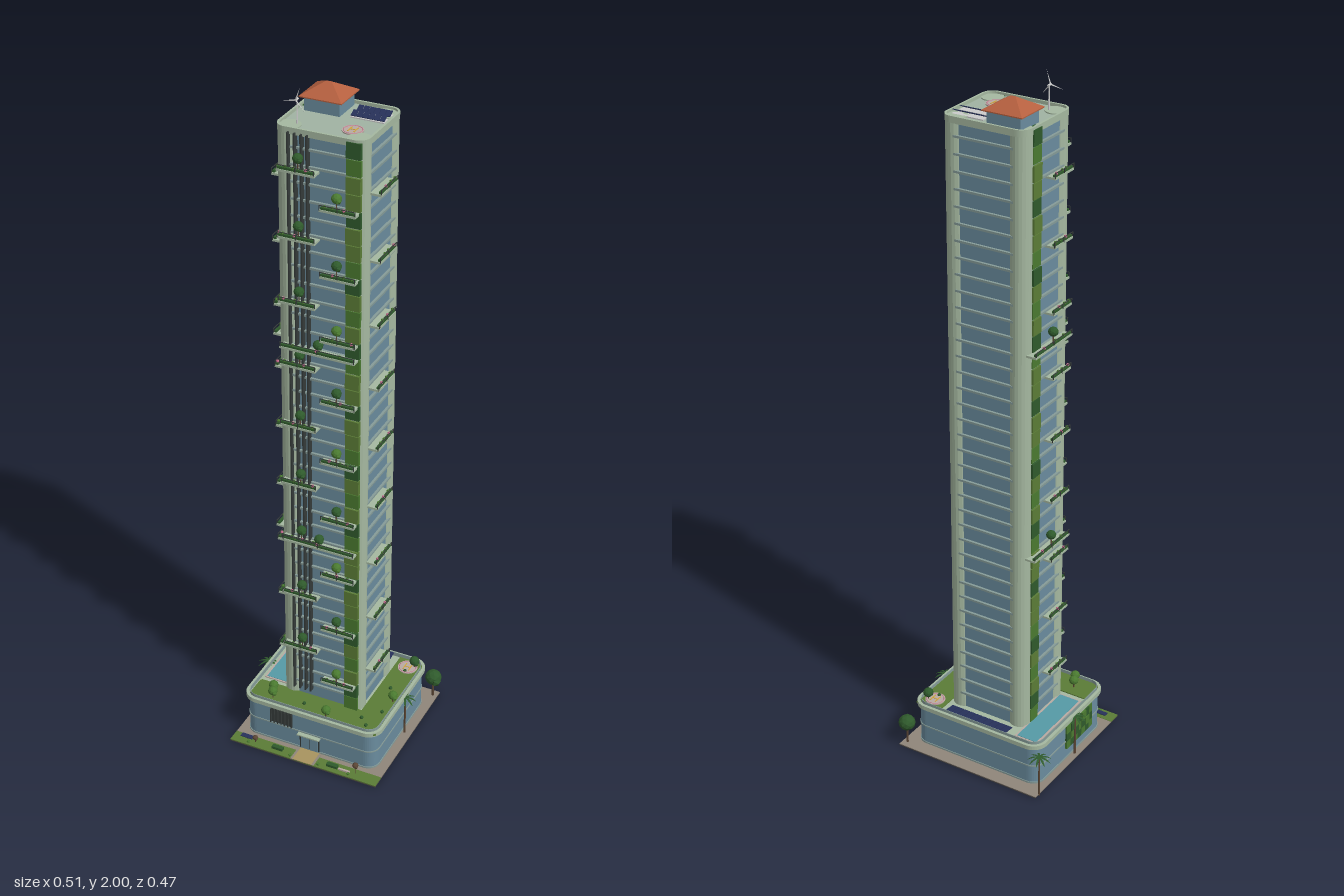
import * as THREE from 'three';
import { ConvexGeometry } from 'three/addons/geometries/ConvexGeometry.js';

const C = {
  glass: 0x6a8c9e, trim: 0xa5b8a0, ledge: 0x859b98, deck: 0xa0b3a2, grass: 0x5b7c36, leaf: 0x2f5a2c,
  leaf2: 0x4a7a30, dark: 0x353b39, solar: 0x27315a, water: 0x559aa6, paving: 0x8f857a, sand: 0xa8935f,
  roof: 0xb5603f, bark: 0x5a4534, pad: 0xb9aaa2, yellow: 0xd0a53a, pink: 0xc06a8a, base: 0x4d4945, white: 0xcccccc,
};
const mats = {};
function mat(c) {
  return mats[c] ??= new THREE.MeshStandardMaterial({ color: C[c], flatShading: true });
}
function add(parent, name, geo, c, x = 0, y = 0, z = 0) {
  const m = new THREE.Mesh(geo, mat(c));
  m.name = name;
  m.position.set(x, y, z);
  parent.add(m);
  return m;
}
// Box given by its x, y and z ranges
function box(parent, name, c, x0, x1, y0, y1, z0, z1) {
  return add(parent, name, new THREE.BoxGeometry(x1 - x0, y1 - y0, z1 - z0), c, (x0 + x1) / 2, (y0 + y1) / 2, (z0 + z1) / 2);
}
function roundRect(target, w, d, r) {
  const a = w / 2 - r, b = d / 2 - r;
  [[a, b], [-a, b], [-a, -b], [a, -b]].forEach(([x, y], i) => target.absarc(x, y, r, i * Math.PI / 2, (i + 1) * Math.PI / 2));
  target.closePath();
  return target;
}
// Rounded slab, or a ring of the given wall thickness
function slab(parent, name, c, [x, z, w, d, r], y0, y1, wall = 0) {
  const s = roundRect(new THREE.Shape(), w, d, r);
  if (wall) s.holes.push(roundRect(new THREE.Path(), w - 2 * wall, d - 2 * wall, r - wall));
  const g = new THREE.ExtrudeGeometry(s, { depth: y1 - y0, bevelEnabled: false, curveSegments: 5 }).rotateX(-Math.PI / 2);
  return add(parent, name, g, c, x, y0, z);
}
const inset = ([x, z, w, d, r], t) => [x, z, w - 2 * t, d - 2 * t, Math.max(r - t, 0.004)];

function tree(parent, x, y, z, r, h, c = 'leaf') {
  const g = new THREE.Group();
  g.name = 'tree';
  g.position.set(x, y, z);
  add(g, 'trunk', new THREE.CylinderGeometry(r * 0.1, r * 0.15, h, 5), 'bark', 0, h / 2, 0);
  const crown = add(g, 'crown', new THREE.IcosahedronGeometry(r, 1), c, 0, h, 0);
  crown.scale.y = 0.95;
  add(g, 'crownLobe', new THREE.IcosahedronGeometry(r * 0.65, 0), c, r * 0.45, h - r * 0.25, r * 0.35);
  parent.add(g);
}
function palm(parent, x, z, h) {
  const g = new THREE.Group();
  g.name = 'palm';
  g.position.set(x, 0, z);
  add(g, 'palmTrunk', new THREE.CylinderGeometry(0.002, 0.0035, h, 6), 'bark', 0, h / 2, 0);
  for (let i = 0; i < 9; i++) {
    // Frond narrows and droops towards its tip
    const f = new THREE.PlaneGeometry(0.034, 0.008, 4, 1).rotateX(-Math.PI / 2).translate(0.017, 0, 0);
    const p = f.attributes.position;
    for (let k = 0; k < p.count; k++) {
      const t = p.getX(k) / 0.034;
      p.setY(k, 0.008 * t - 0.018 * t * t);
      p.setZ(k, p.getZ(k) * (0.25 + 2.4 * t * (1 - t)) * (t > 0.95 ? 0.2 : 1));
    }
    f.computeVertexNormals();
    const m = add(g, 'frond', f, 'leaf', 0, h, 0);
    m.material = mats.frond ??= new THREE.MeshStandardMaterial({ color: C.leaf, side: THREE.DoubleSide });
    m.rotation.y = i * Math.PI * 2 / 9 + x;
  }
  parent.add(g);
}
// Balcony projecting along local +z, centred on its wall line
function balcony(parent, x, y, z, w, d, turn, seed = 0) {
  const g = new THREE.Group();
  g.name = 'balcony';
  g.position.set(x, y, z);
  g.rotation.y = turn;
  box(g, 'balconySlab', 'trim', -w / 2, w / 2, -0.003, 0.003, -0.012, d);
  box(g, 'planter', 'leaf', -w / 2 + 0.003, w / 2 - 0.003, 0.003, 0.009, d - 0.009, d - 0.002);
  box(g, 'handrail', 'dark', -w / 2, w / 2, 0.014, 0.0155, d - 0.002, d);
  for (const s of [-1, 0, 1]) box(g, 'railPost', 'dark', s * w * 0.49 - 0.001, s * w * 0.49 + 0.001, 0, 0.015, d - 0.002, d);
  for (let i = 0; i < 3; i++) {
    const px = (((seed + i) * 0.37) % 1 - 0.5) * w * 0.85;
    add(g, 'flowerBush', new THREE.IcosahedronGeometry(0.005, 0), i === 1 ? 'pink' : 'leaf2', px, 0.011, d - 0.005);
  }
  parent.add(g);
  return g;
}
function helipad(parent, x, y, z, r) {
  add(parent, 'padDisc', new THREE.CylinderGeometry(r, r, 0.003, 28), 'pad', x, y + 0.0015, z);
  add(parent, 'padRing', new THREE.TorusGeometry(r * 0.86, 0.001, 4, 28).rotateX(Math.PI / 2), 'pink', x, y + 0.003, z);
  for (const s of [-1, 1]) box(parent, 'padMarkSide', 'yellow', x + s * r * 0.3 - 0.0015, x + s * r * 0.3 + 0.0015, y, y + 0.004, z - r * 0.5, z + r * 0.5);
  box(parent, 'padMarkBar', 'yellow', x - r * 0.3, x + r * 0.3, y, y + 0.004, z - 0.0015, z + 0.0015);
}
function solarRow(parent, n, x0, x1, y, z, depth, tilt) {
  const step = (x1 - x0) / n;
  for (let i = 0; i < n; i++) {
    const p = add(parent, 'solarPanel', new THREE.BoxGeometry(step * 0.92, 0.002, depth), 'solar', x0 + step * (i + 0.5), y + 0.006, z);
    p.rotation.x = tilt;
  }
}

export function createModel() {
  const model = new THREE.Group();
  model.name = 'gardenTower';
  const site = new THREE.Group(), podium = new THREE.Group(), tower = new THREE.Group(), roof = new THREE.Group();
  [['site', site], ['podium', podium], ['tower', tower], ['rooftop', roof]].forEach(([n, g]) => { g.name = n; model.add(g); });

  // Ground with front lawn and path
  box(site, 'groundBase', 'base', -0.224, 0.24, 0, 0.003, -0.226, 0.235);
  box(site, 'pavement', 'paving', -0.224, 0.24, 0.003, 0.005, -0.226, 0.195);
  box(site, 'frontLawn', 'grass', -0.224, 0.24, 0.003, 0.006, 0.195, 0.235);
  box(site, 'entrancePath', 'paving', -0.029, 0.045, 0.003, 0.0065, 0.18, 0.235);
  box(site, 'pathCentre', 'sand', -0.022, 0.038, 0.003, 0.007, 0.18, 0.235);
  for (const x of [-0.08, 0.095]) box(site, 'hedge', 'leaf', x - 0.017, x + 0.017, 0.006, 0.014, 0.207, 0.22);
  box(site, 'groundSolar', 'solar', -0.2, -0.162, 0.012, 0.014, 0.202, 0.217);
  box(site, 'solarStand', 'dark', -0.183, -0.179, 0.005, 0.012, 0.208, 0.212);
  box(site, 'bench', 'pad', 0.117, 0.152, 0.008, 0.013, 0.216, 0.222);
  tree(site, -0.152, 0.006, 0.215, 0.008, 0.016, 'bark');
  tree(site, 0.167, 0.006, 0.212, 0.009, 0.03, 'bark');
  for (const x of [-0.17, -0.035, 0.055, 0.15]) add(site, 'shrub', new THREE.IcosahedronGeometry(0.005, 0), 'leaf2', x, 0.009, 0.225);
  tree(site, 0.226, 0.005, -0.205, 0.025, 0.068);
  palm(site, -0.224, -0.207, 0.13);
  palm(site, -0.212, 0.007, 0.135);
  palm(site, 0.219, -0.014, 0.135);

  // Podium with door, louvres and green wall
  const P = [0.004, -0.002, 0.412, 0.358, 0.035];
  slab(podium, 'podiumBody', 'glass', P, 0.004, 0.128);
  slab(podium, 'podiumBand', 'ledge', inset(P, -0.002), 0.063, 0.067);
  slab(podium, 'podiumPlinth', 'ledge', inset(P, -0.002), 0.004, 0.01);
  slab(podium, 'podiumCornice', 'trim', inset(P, -0.009), 0.126, 0.133);
  slab(podium, 'podiumParapet', 'trim', inset(P, -0.009), 0.133, 0.139, 0.009);
  slab(podium, 'podiumRail', 'ledge', inset(P, 0.002), 0.133, 0.146, 0.0015);
  box(podium, 'doorFrame', 'dark', -0.026, 0.036, 0.005, 0.057, 0.17, 0.179);
  for (const x of [-0.009, 0.019]) box(podium, 'doorLeaf', 'glass', x - 0.013, x + 0.013, 0.007, 0.053, 0.17, 0.18);
  box(podium, 'doorCanopy', 'trim', -0.03, 0.04, 0.057, 0.061, 0.17, 0.19);
  box(podium, 'louvreBack', 'dark', -0.12, -0.05, 0.07, 0.118, 0.17, 0.1785);
  for (let i = 0; i < 7; i++) box(podium, 'louvre', 'dark', -0.119 + i * 0.011, -0.116 + i * 0.011, 0.07, 0.118, 0.17, 0.184);
  for (let i = 0; i < 7; i++) for (let j = 0; j < 3; j++) {
    box(podium, 'greenWallTile', (i + j) % 2 ? 'leaf' : 'leaf2', -0.208 - (i * j % 3) * 0.002, -0.2, 0.04 + j * 0.026, 0.066 + j * 0.026, -0.03 + i * 0.02, -0.01 + i * 0.02);
  }

  // Podium deck: pool, lawns, panels and planting
  box(podium, 'poolBorder', 'pad', -0.19, -0.116, 0.13, 0.136, -0.165, 0.078);
  box(podium, 'poolWater', 'water', -0.184, -0.122, 0.13, 0.137, -0.16, 0.073);
  slab(podium, 'frontGarden', 'grass', [0.008, 0.134, 0.405, 0.082, 0.008], 0.13, 0.136);
  box(podium, 'sideGarden', 'grass', 0.13, 0.2105, 0.13, 0.136, -0.176, 0.11);
  solarRow(podium, 10, -0.094, 0.11, 0.135, -0.159, 0.038, 0.12);
  helipad(podium, 0.17, 0.136, -0.14, 0.029);
  tree(podium, 0.187, 0.136, -0.15, 0.015, 0.024);
  [[-0.135, 0.127], [-0.125, 0.152], [0.05, 0.162], [0.195, 0.02]].forEach(([x, z]) => tree(podium, x, 0.136, z, 0.014, 0.024, 'leaf2'));
  [[-0.03, 0.14], [0.145, 0.125], [0.17, 0.15], [0.187, 0.077], [0.165, -0.03], [0.17, -0.12]].forEach(([x, z]) =>
    add(podium, 'deckShrub', new THREE.IcosahedronGeometry(0.006, 0), 'leaf', x, 0.139, z));

  // Tower core, rounded corner piers and a ledge at each floor
  const T = [0.005, -0.012, 0.25, 0.224, 0.03], top = 1.9, step = 0.0465;
  slab(tower, 'glassCore', 'glass', inset(T, 0.008), 0.13, top - 0.01);
  for (const sx of [-1, 1]) for (const sz of [-1, 1]) {
    add(tower, 'cornerPier', new THREE.CylinderGeometry(0.03, 0.03, top - 0.13, 20), 'trim', 0.005 + sx * 0.095, (top + 0.13) / 2, -0.012 + sz * 0.082);
  }
  for (let i = 1; i < 38; i++) slab(tower, 'floorLedge', 'ledge', inset(T, 0.001), 0.133 + i * step - 0.003, 0.133 + i * step + 0.003);

  // Planted strips on the front and the right side, with dark fins beside them
  for (let i = 0; i < 38; i++) {
    const y = 0.135 + i * step, c = i % 4 === 1 ? 'leaf' : i % 3 ? 'grass' : 'leaf2';
    box(tower, 'frontGreenStrip', c, 0.079, 0.119, y, y + step - 0.003, 0.08, 0.102 + (i % 3) * 0.0015);
    box(tower, 'sideGreenStrip', c, -0.1215 - (i % 3) * 0.0015, -0.1, y, y + step - 0.003, -0.088, -0.05);
  }
  for (const x of [-0.078, -0.06, -0.042, -0.026]) box(tower, 'verticalFin', 'dark', x - 0.002, x + 0.002, 0.16, 1.895, 0.085, 0.109);

  // Balconies step up three faces
  for (let i = 0; i < 9; i++) {
    const y = 0.267 + i * 0.186, yl = 0.317 + i * 0.185, yr = 0.222 + i * 0.186;
    balcony(tower, 0.13, y, 0.018, 0.1, 0.03, Math.PI / 2, i);
    balcony(tower, -0.12, y, 0.025, 0.09, 0.024, -Math.PI / 2, i + 2);
    balcony(tower, -0.05, yl, 0.1, 0.105, 0.024, 0, i + 4);
    balcony(tower, 0.065, yr, 0.1, 0.1, 0.024, 0, i + 1);
    tree(tower, -0.046, yl + 0.003, 0.115, 0.014, 0.035);
    tree(tower, 0.06, yr + 0.003, 0.115, 0.014, 0.035, i % 2 ? 'leaf' : 'leaf2');
  }
  // Two larger sky terraces wrap the front and side
  for (const y of [0.685, 1.295]) {
    balcony(tower, 0.008, y, 0.1, 0.215, 0.026, 0, 3);
    balcony(tower, -0.12, y, -0.02, 0.18, 0.026, -Math.PI / 2, 5);
    tree(tower, 0.01, y, 0.12, 0.014, 0.03);
    tree(tower, -0.142, y, -0.02, 0.014, 0.042);
  }

  // Roof deck, parapet and plant house
  slab(roof, 'roofDeck', 'deck', inset(T, 0.003), top - 0.014, top - 0.003);
  slab(roof, 'roofParapet', 'trim', inset(T, -0.001), top - 0.012, top + 0.006, 0.006);
  box(roof, 'plantHouse', 'glass', -0.098, 0, top - 0.003, 1.938, -0.112, -0.026);
  const hip = [[-0.108, -0.121], [0.01, -0.121], [-0.108, -0.016], [0.01, -0.016]].flatMap(([x, z]) =>
    [new THREE.Vector3(x, 1.934, z), new THREE.Vector3(x, 1.937, z)]);
  for (const x of [-0.056, -0.042]) hip.push(new THREE.Vector3(x, 1.968, -0.068));
  add(roof, 'hipRoof', new ConvexGeometry(hip), 'roof');
  for (const z of [-0.08, -0.047]) {
    box(roof, 'solarFrame', 'white', 0.024, 0.117, top - 0.003, top, z - 0.012, z + 0.012);
    solarRow(roof, 6, 0.024, 0.117, top, z, 0.02, 0.45);
  }
  helipad(roof, 0.065, top - 0.003, 0.033, 0.028);

  // Wind turbine
  add(roof, 'turbineMast', new THREE.CylinderGeometry(0.0015, 0.0025, 0.07, 8), 'white', -0.074, 1.93, 0.06);
  add(roof, 'turbineHub', new THREE.CylinderGeometry(0.003, 0.003, 0.014, 8).rotateX(Math.PI / 2), 'white', -0.074, 1.964, 0.062);
  for (let i = 0; i < 3; i++) {
    const blade = add(roof, 'turbineBlade', new THREE.ConeGeometry(0.0025, 0.038, 4).translate(0, 0.019, 0), 'white', -0.074, 1.964, 0.067);
    blade.rotation.z = -0.32 + i * Math.PI * 2 / 3;
  }
  return model;
}
